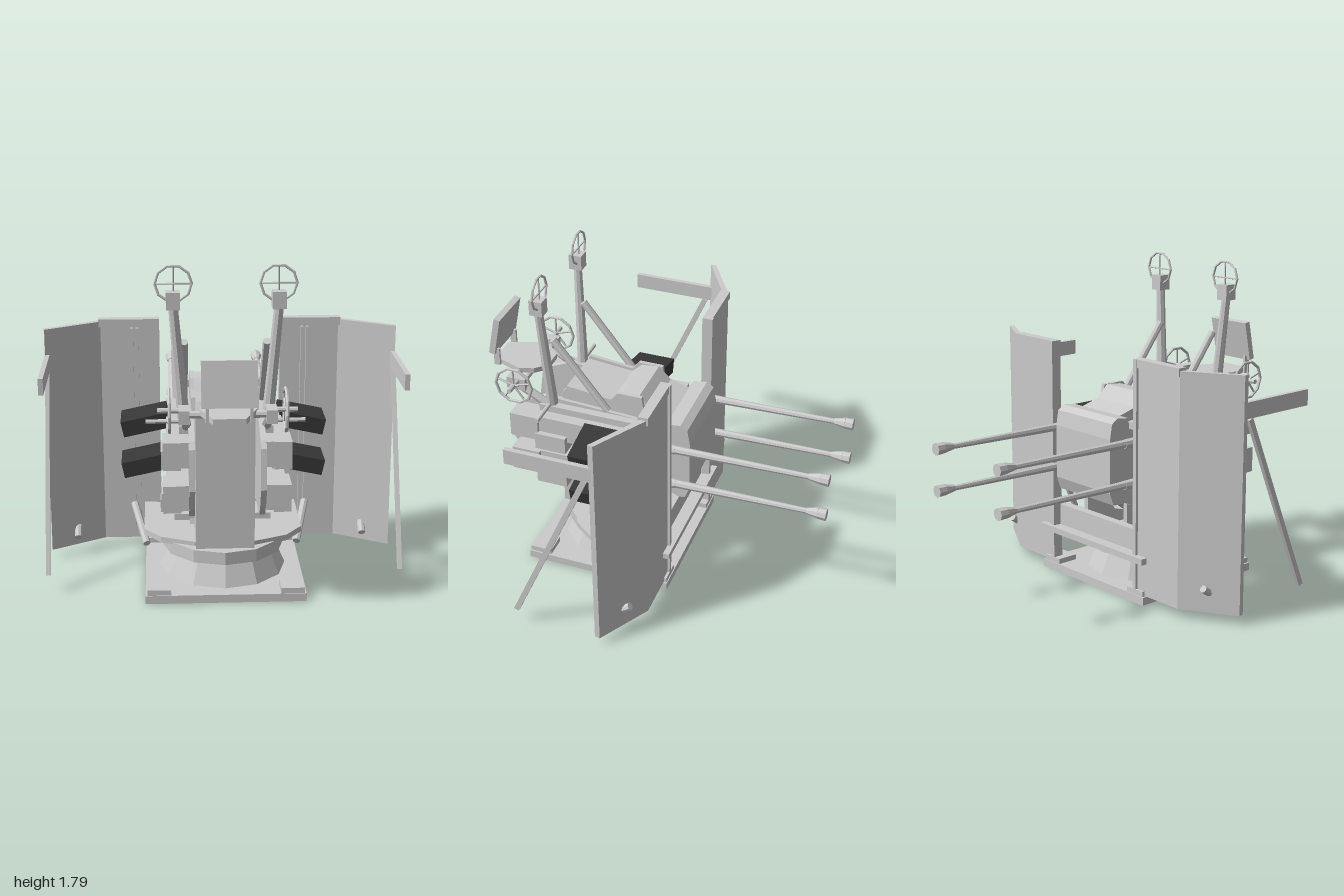
import * as THREE from 'three';

const grey = new THREE.MeshStandardMaterial({ color: 0xcccccc, flatShading: true });
const dark = new THREE.MeshStandardMaterial({ color: 0x383838, flatShading: true });

export function createModel() {
  const root = new THREE.Group();
  const V = (x, y, z) => new THREE.Vector3(x, y, z);

  const add = (name, geo, parent = root, mat = grey) => {
    const m = new THREE.Mesh(geo, mat);
    m.name = name;
    parent.add(m);
    return m;
  };
  // Box from its limits on each axis; s mirrors it across x
  const box = (name, [x0, x1], [y0, y1], [z0, z1], parent, s = 1, mat) => {
    const m = add(name, new THREE.BoxGeometry(x1 - x0, y1 - y0, z1 - z0), parent, mat);
    m.position.set(s * (x0 + x1) / 2, (y0 + y1) / 2, (z0 + z1) / 2);
    return m;
  };
  // Round bar between two points, optionally tapered
  const bar = (name, a, b, r0, r1 = r0, parent, sides = 8) => {
    const d = b.clone().sub(a);
    const m = add(name, new THREE.CylinderGeometry(r1, r0, d.length(), sides), parent);
    m.position.copy(a).add(b).multiplyScalar(0.5);
    m.quaternion.setFromUnitVectors(V(0, 1, 0), d.normalize());
    return m;
  };
  const shapeOf = (pts) => new THREE.Shape(pts.map(([a, b]) => new THREE.Vector2(a, b)));
  const extrude = (pts, depth) => new THREE.ExtrudeGeometry(shapeOf(pts), { depth, bevelEnabled: false });
  // Side outline given as (z, y), with thickness along x
  const sidePlate = (name, pts, x0, x1, parent) =>
    add(name, extrude(pts, x1 - x0).rotateY(-Math.PI / 2).translate(x1, 0, 0), parent);
  // Floor outline given as (x, z), with thickness along y
  const floorPlate = (name, pts, y0, y1, parent) =>
    add(name, extrude(pts, y1 - y0).rotateX(Math.PI / 2).translate(0, y1, 0), parent);
  // Spoked ring in the xy plane
  const wheel = (name, r, tube, spokes, parent) => {
    const g = new THREE.Group();
    g.name = name;
    add('rim', new THREE.TorusGeometry(r, tube, 6, 10), g);
    for (let i = 0; i < spokes; i++) {
      const a = Math.PI / 2 + i * 2 * Math.PI / spokes;
      bar('spoke', V(0, 0, 0), V(r * Math.cos(a), r * Math.sin(a), 0), tube * 0.7, tube * 0.7, g, 5);
    }
    parent.add(g);
    return g;
  };

  // Base plate, pedestal and turntable
  const CZ = 0.267;
  box('basePlate', [-0.425, 0.425], [0, 0.045], [-0.155, 0.69]);
  for (const s of [-1, 1]) for (const z of [-0.15, 0.56])
    box('basePad', [0.29, 0.415], [0.045, 0.075], [z, z + 0.125], root, s);
  add('pedestal', new THREE.CylinderGeometry(0.285, 0.345, 0.135, 12)).position.set(0, 0.11, CZ);
  add('pedestalRing', new THREE.CylinderGeometry(0.335, 0.335, 0.07, 12)).position.set(0, 0.21, CZ);
  floorPlate('turntable', [[-0.43, -0.14], [0.43, -0.14], [0.43, 0.3], [0.34, 0.42], [0.16, 0.5],
    [-0.16, 0.5], [-0.34, 0.42], [-0.43, 0.3]], 0.235, 0.268);
  box('rearSill', [-0.43, 0.43], [0.235, 0.27], [-0.17, -0.12]);
  box('rearBeam', [-0.335, 0.335], [0.268, 0.39], [-0.1, -0.05]);

  // Central body with its stepped cover and rear mantlet
  sidePlate('body', [[0.575, 0.26], [0.575, 0.99], [0.525, 1.06], [0.26, 1.035], [0.2, 1.09],
    [0.1, 1.1], [0.03, 1.03], [-0.08, 1.0], [-0.08, 0.5], [0.07, 0.45], [0.23, 0.33], [0.23, 0.26]], -0.155, 0.155);
  sidePlate('mantlet', [[-0.08, 1.0], [-0.16, 1.01], [-0.2, 0.985], [-0.215, 0.9], [-0.215, 0.6],
    [-0.19, 0.53], [-0.15, 0.525], [-0.08, 0.56]], -0.225, 0.225);

  for (const s of [-1, 1]) {
    const side = new THREE.Group();
    side.name = s > 0 ? 'leftSide' : 'rightSide';
    root.add(side);
    const P = (x, y, z) => V(s * x, y, z);
    const B = (name, x, y, z, mat) => box(name, x, y, z, side, s, mat);
    const plate = (name, pts, x0, x1) => sidePlate(name, pts, s > 0 ? x0 : -x1, s > 0 ? x1 : -x0, side);

    // Cradle cheek and its supports
    plate('cradleCheek', [[0.64, 1.0], [0.79, 0.935], [0.825, 0.9], [0.855, 0.69], [0.8, 0.575],
      [0.74, 0.515], [0.45, 0.51], [0.05, 0.54], [-0.09, 0.58], [-0.09, 0.96]], 0.165, 0.195);
    plate('coverRail', [[0.55, 0.98], [0.52, 1.08], [0.26, 1.05], [0.22, 1.1], [0.08, 1.1], [0.06, 0.96]], 0.153, 0.175);
    plate('gusset', [[0.25, 0.27], [0.23, 0.33], [0.16, 0.35], [0.07, 0.45], [-0.05, 0.5], [-0.05, 0.27]], 0.15, 0.18);
    B('footRail', [0.15, 0.265], [0.29, 0.325], [-0.03, 0.24]);
    B('footBlock', [0.17, 0.34], [0.268, 0.34], [-0.04, 0.06]);
    B('lowerRail', [0.205, 0.25], [0.46, 0.52], [0.07, 0.415]).rotation.x = -0.05;

    // Two guns, one above the other
    for (const y of [0.865, 0.635]) {
      const gun = new THREE.Group();
      gun.name = 'gun';
      side.add(gun);
      const G = (name, x, yy, z, mat) => box(name, x, [y + yy[0], y + yy[1]], z, gun, s, mat);
      G('receiver', [0.19, 0.305], [-0.07, 0.065], [0.1, 0.8]);
      G('receiverEnd', [0.235, 0.325], [-0.08, 0.065], [0.64, 0.805]);
      G('triggerHousing', [0.235, 0.335], [-0.13, -0.03], [0.475, 0.655]);
      G('receiverFront', [0.225, 0.305], [-0.035, 0.045], [-0.04, 0.1]);
      const my = y + 0.02;
      const mag = add('magazine', new THREE.BoxGeometry(0.25, 0.085, 0.215), gun, dark);
      mag.position.set(s * 0.415, my, 0.258);
      mag.rotation.z = -s * 0.21;
      const by = y + 0.007;
      bar('barrelJacket', P(0.265, by, 0.02), P(0.265, by + 0.003, -0.15), 0.03, 0.026, gun);
      bar('barrel', P(0.265, by + 0.003, -0.1), P(0.265, by + 0.018, -0.9), 0.024, 0.015, gun);
      bar('muzzleNeck', P(0.265, by + 0.018, -0.89), P(0.265, by + 0.02, -0.955), 0.018, 0.032, gun);
      bar('muzzle', P(0.265, by + 0.02, -0.955), P(0.265, by + 0.02, -1), 0.032, 0.034, gun);
    }
    B('upperRail', [0.195, 0.24], [0.93, 0.97], [-0.05, 0.66]);

    // Ring sight on its post
    bar('sightPost', P(0.215, 0.98, 0.59), P(0.265, 1.59, 0.62), 0.032, 0.024, side);
    bar('sightBrace', P(0.21, 1.39, 0.57), P(0.21, 1.0, 0.265), 0.021, 0.021, side);
    B('sightBox', [0.23, 0.3], [1.575, 1.662], [0.583, 0.657]);
    wheel('ringSight', 0.092, 0.007, 4, side).position.set(s * 0.263, 1.7, 0.61);

    // Handwheel with axle and shaft
    const hw = wheel('handwheel', 0.107, 0.009, 5, side);
    hw.position.set(s * 0.29, 1.095, 0.785);
    hw.rotation.y = Math.PI / 2;
    bar('handwheelAxle', P(0.19, 1.095, 0.785), P(0.35, 1.095, 0.785), 0.014, 0.014, side);
    bar('handwheelShaft', P(0.215, 1.08, 0.83), P(0.2, 0.94, 0.6), 0.025, 0.025, side);
    B('gearbox', [0.19, 0.245], [1.04, 1.11], [0.74, 0.85]);
    bar('crossShaft', P(0.2, 0.98, 0.6), P(0.41, 0.98, 0.6), 0.012, 0.012, side);

    // Shield wing, bent at its outer third
    floorPlate('shieldPanel', [[0.335, -0.135], [0.67, -0.135], [0.96, 0.035], [0.955, 0.065],
      [0.66, -0.105], [0.335, -0.105]].map(([x, z]) => [s * x, z]), 0.05, 1.335, side);
    B('shieldTopTrim', [0.335, 0.67], [1.305, 1.35], [-0.145, -0.09]);
    B('shieldInnerTrim', [0.335, 0.36], [0.045, 1.35], [-0.15, -0.09]);
    B('shieldRib', [0.45, 0.465], [0.1, 1.3], [-0.105, -0.08]);
    B('shieldRib', [0.48, 0.495], [0.1, 1.3], [-0.105, -0.08]);
    B('shieldArm', [0.932, 0.958], [1.105, 1.192], [0.04, 0.525]);
    const strut = B('shieldStrut', [0.932, 0.955], [0.055, 1.145], [0.295, 0.325]);
    strut.rotation.x = -0.41;
    bar('shieldHandle', P(0.81, 0.11, 0.03), P(0.81, 0.19, -0.085), 0.021, 0.021, side);
    bar('shieldBrace', P(0.42, 0.12, 0.16), P(0.488, 0.265, -0.09), 0.021, 0.021, side);

    // Seat fittings
    B('seatHinge', [0.1, 0.115], [1.085, 1.19], [0.95, 0.985]);
    bar('seatArm', P(0.1, 1.085, 0.825), P(0.23, 1.085, 0.825), 0.02, 0.02, side);
  }

  // Gunner's seat
  const seat = floorPlate('seat', [[-0.06, 0.68], [0.06, 0.68], [0.12, 0.74], [0.145, 0.82], [0.115, 0.9],
    [0.08, 0.99], [-0.08, 0.99], [-0.115, 0.9], [-0.145, 0.82], [-0.12, 0.74]], 1.083, 1.113);
  seat.name = 'seat';
  const back = box('seatBack', [-0.137, 0.137], [1.165, 1.395], [0.945, 0.98]);
  back.rotation.x = -0.2;
  bar('crossBar', V(-0.21, 1.07, 0.77), V(0.21, 1.07, 0.77), 0.016);
  return root;
}
